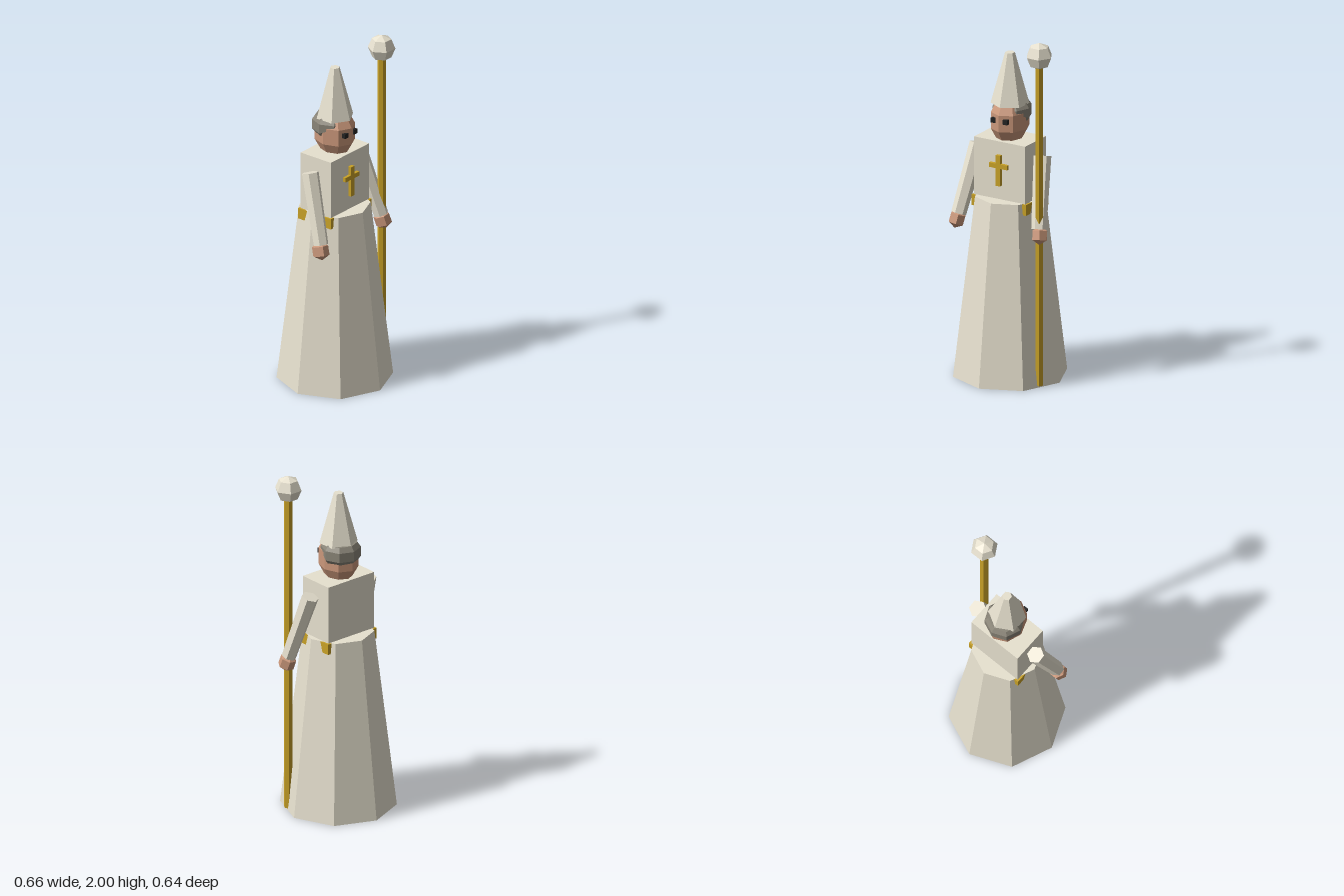
import * as THREE from 'three';

const flat = (name, color) => {
  const m = new THREE.MeshStandardMaterial({ color, flatShading: true });
  m.name = name;
  return m;
};

export function createModel() {
  const group = new THREE.Group();
  const cream = flat('creamCloth', 0xe8e2d0);
  const gold = flat('gold', 0xc9a227);
  const skin = flat('skin', 0xcb987b);
  const grey = flat('greyHair', 0x8a8578);
  const dark = flat('eyeBlack', 0x222222);
  const cx = -0.011; // body axis

  const add = (name, geometry, material, x, y, z) => {
    const mesh = new THREE.Mesh(geometry, material);
    mesh.name = name;
    mesh.position.set(x, y, z);
    group.add(mesh);
    return mesh;
  };
  const box = (name, mat, w, h, d, x, y, z) =>
    add(name, new THREE.BoxGeometry(w, h, d), mat, x, y, z);

  // Robe and belt, whose corners poke through the skirt
  add('skirt', new THREE.CylinderGeometry(0.198, 0.322, 1.04, 8), cream, cx, 0.52, 0);
  box('belt', gold, 0.353, 0.062, 0.234, cx, 1.008, 0);
  box('torso', cream, 0.332, 0.345, 0.215, cx, 1.2025, 0);

  // Chest cross
  box('crossUpright', gold, 0.028, 0.178, 0.022, cx, 1.21, 0.116);
  box('crossBar', gold, 0.118, 0.026, 0.02, cx, 1.236, 0.116);

  // Head and eyes
  add('head', new THREE.SphereGeometry(1, 8, 5), skin, cx, 1.48, 0)
    .scale.set(0.107, 0.155, 0.126);
  for (const s of [-1, 1]) box('eye', dark, 0.027, 0.027, 0.03, cx + s * 0.039, 1.494, 0.102);

  // Hair: a faceted cap, lifted clear of the face at the front
  const profile = [[0, 1.466], [0.09, 1.466], [0.111, 1.495], [0.111, 1.55], [0.092, 1.578], [0, 1.578]];
  const hair = new THREE.LatheGeometry(profile.map(p => new THREE.Vector2(...p)), 8);
  const pos = hair.attributes.position;
  for (let i = 0; i < pos.count; i++) {
    if (pos.getZ(i) > 0.01 && pos.getY(i) < 1.53) pos.setY(i, 1.528);
  }
  hair.computeVertexNormals();
  add('hair', hair, grey, cx, 0, -0.02);

  // Pointed hat
  add('hat', new THREE.CylinderGeometry(0.027, 0.107, 0.295, 6), cream, cx, 1.7175, 0);

  // Arms and hands, leaning outward and forward
  const up = new THREE.Vector3(0, 1, 0);
  for (const [side, s] of [['left', 1], ['right', -1]]) {
    const shoulder = new THREE.Vector3(cx + s * 0.208, 1.298, -0.004);
    const wrist = new THREE.Vector3(cx + s * 0.26, 0.915, 0.116);
    const axis = shoulder.clone().sub(wrist);
    const mid = shoulder.clone().add(wrist).multiplyScalar(0.5);
    const turn = new THREE.Quaternion().setFromUnitVectors(up, axis.clone().normalize());
    add(side + 'Arm', new THREE.CylinderGeometry(0.049, 0.042, axis.length(), 6),
      cream, mid.x, mid.y, mid.z).quaternion.copy(turn);
    add(side + 'Hand', new THREE.SphereGeometry(0.053, 6, 3),
      skin, cx + s * 0.268, 0.882, 0.12).quaternion.copy(turn);
  }

  // Staff with a faceted orb
  add('staff', new THREE.CylinderGeometry(0.024, 0.024, 1.85, 6), gold, 0.252, 0.935, 0.117)
    .rotation.y = Math.PI / 6;
  add('staffOrb', new THREE.SphereGeometry(0.077, 6, 4), cream, 0.252, 1.923, 0.117);

  return group;
}
